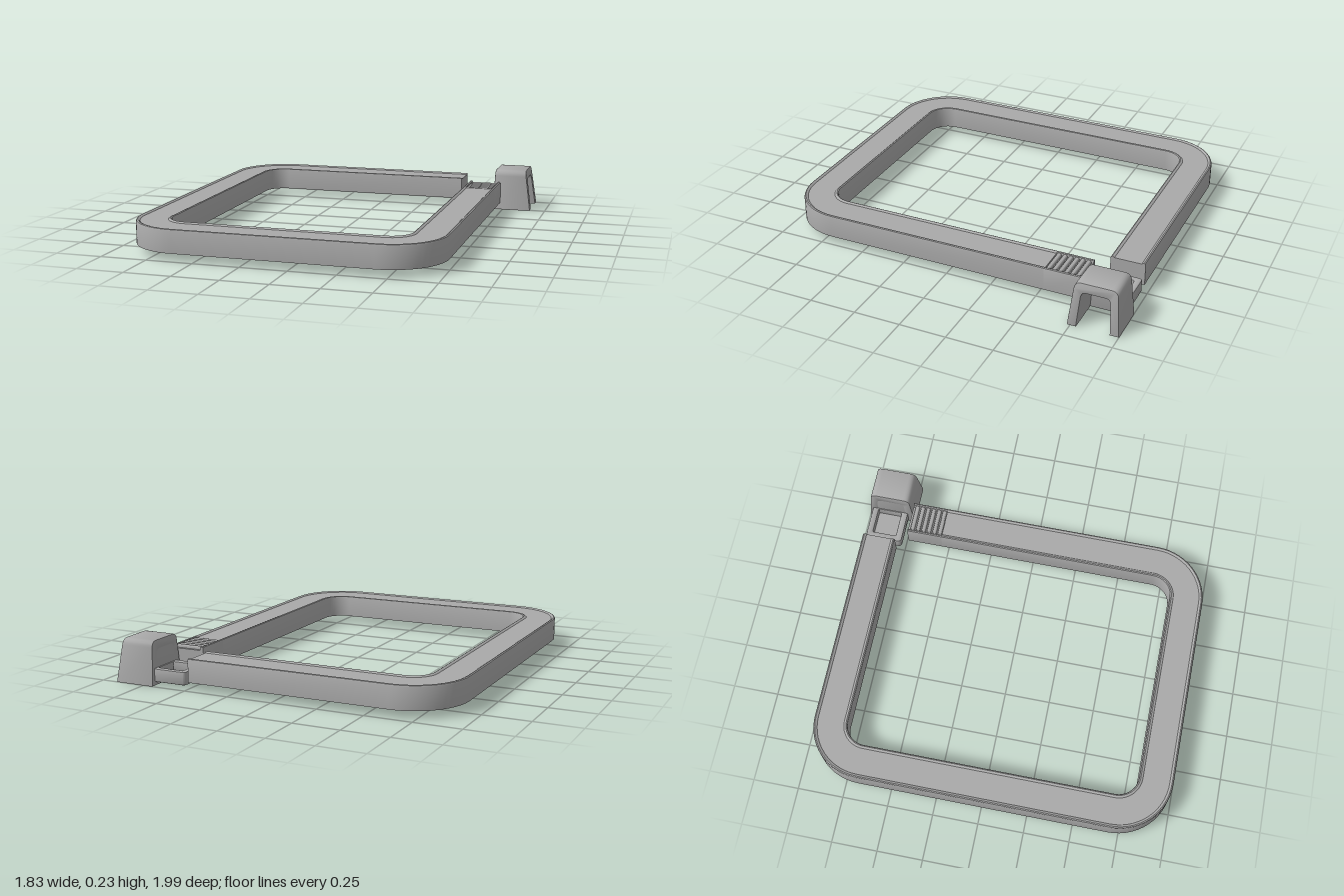
import * as THREE from 'three';
import { toCreasedNormals } from 'three/addons/utils/BufferGeometryUtils.js';

const grey = new THREE.MeshStandardMaterial({ color: 0xaaaaaa });
grey.name = 'grey plastic';

function add(group, name, geometry) {
  const mesh = new THREE.Mesh(toCreasedNormals(geometry, 0.6), grey);
  mesh.name = name;
  group.add(mesh);
  return mesh;
}

// Bar cross-section: flat underside, rounded lips, shallow floor between them
function barProfile(floor) {
  const w = 0.093;
  const half = [[w, 0.04], [w, 0.155], [w - 0.003, 0.162], [w - 0.009, 0.165], [w - 0.016, 0.163], [w - 0.021, floor]];
  return [...half, ...half.map(([s, y]) => [-s, y]).reverse()];
}

// Sweeps a profile along a flat path of { x, z, tx, tz } stations, with capped ends
function sweep(path, profile) {
  const pos = [], index = [], n = profile.length;
  for (const p of path) {
    for (const [s, y] of profile) pos.push(p.x - p.tz * s, y, p.z + p.tx * s);
  }
  for (let i = 0; i < path.length - 1; i++) {
    for (let j = 0; j < n; j++) {
      const a = i * n + j, b = i * n + (j + 1) % n, c = b + n, d = a + n;
      index.push(a, d, c, a, c, b);
    }
  }
  const end = (path.length - 1) * n;
  const contour = profile.map(([s, y]) => new THREE.Vector2(s, y));
  for (const [a, b, c] of THREE.ShapeUtils.triangulateShape(contour, [])) {
    index.push(a, b, c, end + a, end + c, end + b);
  }
  const g = new THREE.BufferGeometry();
  g.setAttribute('position', new THREE.Float32BufferAttribute(pos, 3));
  g.setIndex(index);
  return g;
}

// Closed outline with rounded corners; each corner is [x, y, radius]
function rounded(corners, Type = THREE.Shape) {
  const shape = new Type();
  const n = corners.length;
  corners.forEach(([x, y, r], i) => {
    const toward = ([px, py]) => {
      const d = Math.hypot(px - x, py - y);
      return [x + (px - x) * r / d, y + (py - y) * r / d];
    };
    const p = toward(corners[(i + n - 1) % n]), q = toward(corners[(i + 1) % n]);
    if (i === 0) shape.moveTo(...p); else shape.lineTo(...p);
    if (r > 0) shape.quadraticCurveTo(x, y, ...q);
  });
  shape.closePath();
  return shape;
}

const rect = (x0, x1, y0, y1, r) => [[x0, y0, r], [x1, y0, r], [x1, y1, r], [x0, y1, r]];

export function createModel() {
  const model = new THREE.Group();
  model.name = 'openFrameWithClip';

  // Main frame: three rounded corners, open at the back left
  const L = -0.823, R = 0.643, B = -0.887, F = 0.897, r = 0.205;
  const path = [{ x: 0.488, z: B, tx: -1, tz: 0 }];
  const corners = [[L + r, B + r, -Math.PI / 2], [L + r, F - r, -Math.PI], [R - r, F - r, -Math.PI * 1.5]];
  for (const [cx, cz, start] of corners) {
    for (let i = 0; i <= 14; i++) {
      const a = start - (i / 14) * Math.PI / 2;
      const c = Math.cos(a), s = Math.sin(a);
      path.push({ x: cx + r * c, z: cz + r * s, tx: s, tz: -c });
    }
  }
  path.push({ x: R, z: -0.535, tx: 0, tz: -1 });
  add(model, 'frame', sweep(path, barProfile(0.158)));

  // Ridged grip at the free end of the arm
  const grip = new THREE.Group();
  grip.name = 'grip';
  model.add(grip);
  const gripPath = [-0.535, -0.735].map((z) => ({ x: R, z, tx: 0, tz: -1 }));
  add(grip, 'gripBase', sweep(gripPath, barProfile(0.145)));
  for (let i = 0; i < 6; i++) {
    const ridge = add(grip, 'gripRidge', new THREE.CylinderGeometry(0.013, 0.013, 0.15, 12).rotateZ(Math.PI / 2));
    ridge.position.set(R, 0.149, -0.55 - i * 0.032);
  }

  // Small open tray joining the frame end to the clip
  const tray = new THREE.Group();
  tray.name = 'tray';
  model.add(tray);
  const wall = rounded(rect(0.515, 0.715, 0.775, 0.972, 0.015));
  wall.holes.push(rounded(rect(0.538, 0.695, 0.802, 0.948, 0.012), THREE.Path));
  const bevel = { bevelEnabled: true, bevelThickness: 0.006, bevelSize: 0.005, bevelSegments: 2, curveSegments: 5 };
  const rim = new THREE.ExtrudeGeometry(wall, { depth: 0.058, ...bevel }).rotateX(-Math.PI / 2);
  add(tray, 'trayRim', rim).position.y = 0.026;
  const floor = new THREE.BoxGeometry(0.175, 0.02, 0.165);
  add(tray, 'trayFloor', floor).position.set(0.616, 0.031, -0.875);

  // Hooded clip: tapered arch, open below and on the outer side
  const clip = new THREE.Group();
  clip.name = 'clip';
  model.add(clip);
  const outer = [[0.129, 0.005, 0], [0.107, 0.228, 0.03], [-0.107, 0.228, 0.03], [-0.129, 0.005, 0]];
  const inner = [[-0.091, 0.005, 0], [-0.078, 0.188, 0.03], [0.078, 0.188, 0.03], [0.091, 0.005, 0]];
  const addClipPart = (name, shape, x0, depth) => {
    const g = new THREE.ExtrudeGeometry(shape, { depth, ...bevel });
    g.rotateY(Math.PI / 2).translate(x0, 0, -0.867);
    const p = g.attributes.position;
    for (let i = 0; i < p.count; i++) {
      // Lean both ends inward toward the top
      const t = p.getY(i) / 0.235, k = (p.getX(i) - 0.69) / 0.225;
      p.setX(i, THREE.MathUtils.lerp(0.69 + 0.01 * t, 0.915 - 0.035 * t, k));
    }
    add(clip, name, g);
  };
  addClipPart('clipArch', rounded([...outer, ...inner]), 0.696, 0.213);
  addClipPart('clipBackWall', rounded(outer.map(([u, v, q]) => [u * 0.97, v * 0.985, q])), 0.697, 0.02);

  return model;
}
